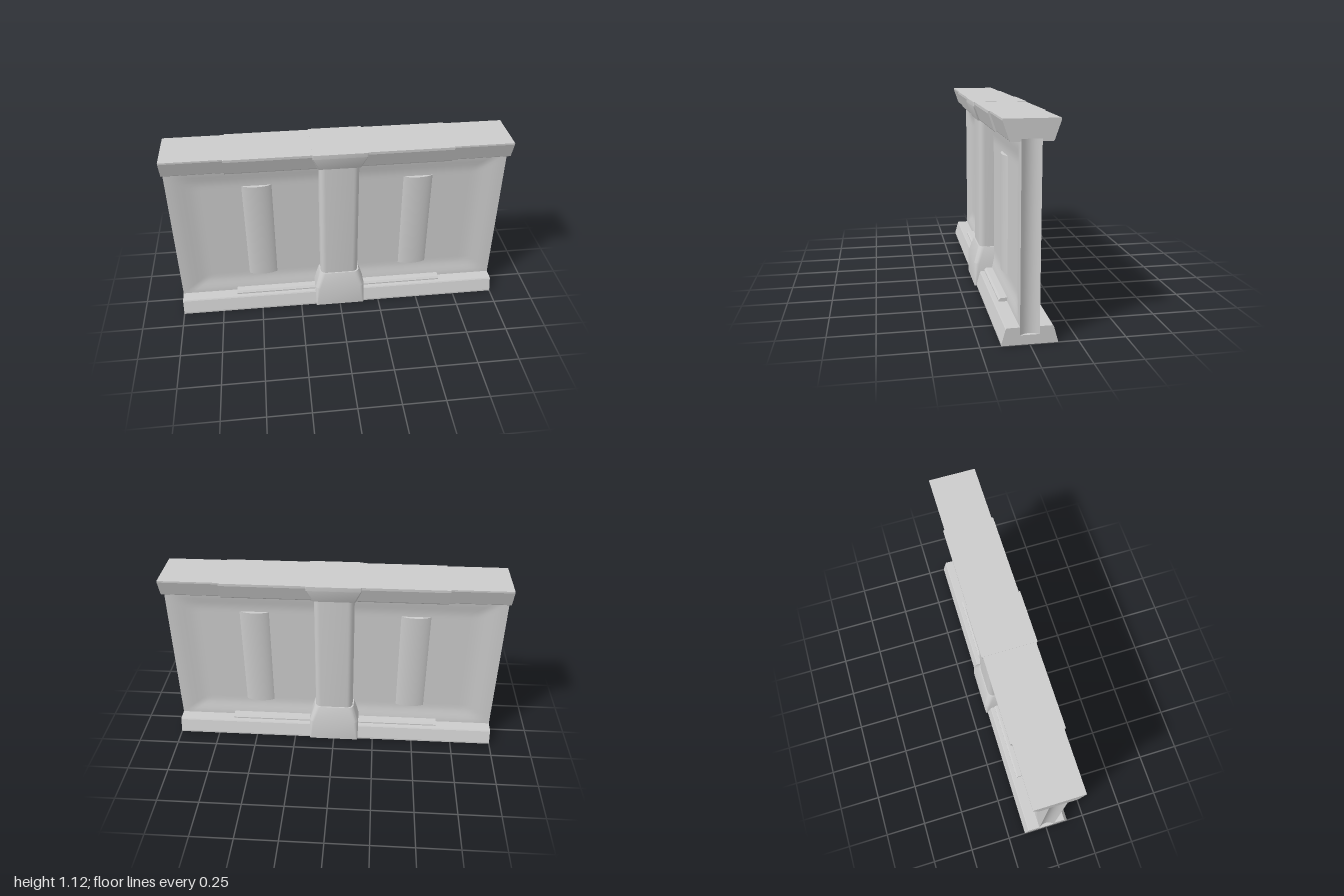
import * as THREE from 'three';
import { toCreasedNormals } from 'three/addons/utils/BufferGeometryUtils.js';

const material = new THREE.MeshStandardMaterial({ color: 0xcccccc, side: THREE.DoubleSide });

function add(group, name, geometry) {
  const mesh = new THREE.Mesh(geometry, material);
  mesh.name = name;
  group.add(mesh);
  return mesh;
}

// Prism along x from a profile of [z, y] points
function prism(points, x0, x1) {
  const shape = new THREE.Shape(points.map(([z, y]) => new THREE.Vector2(z, y)));
  const g = new THREE.ExtrudeGeometry(shape, { depth: x1 - x0, bevelEnabled: false });
  return g.rotateY(Math.PI / 2).translate(x0, 0, 0);
}

// Mirrors a right-hand half profile across z = 0
const mirrored = half => [...half, ...half.map(([z, y]) => [-z, y]).reverse()];

// Rounded-square loft through rings of [y, halfWidth, cornerRadius]
function loft(rings) {
  const pos = [], index = [], per = 24;
  for (const [y, w, r] of rings) {
    for (let c = 0; c < 4; c++) {
      const mid = Math.PI / 4 + c * Math.PI / 2;
      const cx = Math.sign(Math.cos(mid)) * (w - r), cz = Math.sign(Math.sin(mid)) * (w - r);
      for (let k = 0; k < 6; k++) {
        const a = (c + k / 5) * Math.PI / 2;
        pos.push(cx + r * Math.cos(a), y, cz + r * Math.sin(a));
      }
    }
  }
  for (let i = 0; i < rings.length - 1; i++) {
    for (let j = 0; j < per; j++) {
      const a = i * per + j, b = i * per + (j + 1) % per;
      index.push(a, a + per, b, b, a + per, b + per);
    }
  }
  const last = (rings.length - 1) * per;
  for (let j = 1; j < per - 1; j++) {
    index.push(0, j, j + 1, last, last + j + 1, last + j);
  }
  const g = new THREE.BufferGeometry();
  g.setAttribute('position', new THREE.Float32BufferAttribute(pos, 3));
  g.setIndex(index);
  return toCreasedNormals(g, 0.4);
}

// Panel face that thickens smoothly towards its borders
function panelFace() {
  const g = new THREE.PlaneGeometry(2, 0.975, 60, 40).translate(0, 0.5375, 0);
  const p = g.attributes.position;
  const smooth = THREE.MathUtils.smoothstep;
  for (let i = 0; i < p.count; i++) {
    const x = p.getX(i), y = p.getY(i);
    const edge = Math.max(
      smooth(Math.abs(x), 0.82, 0.98),
      smooth(y, 0.88, 1.01),
      1 - smooth(y, 0.09, 0.2)
    );
    p.setZ(i, 0.03 + 0.02 * edge);
  }
  g.computeVertexNormals();
  return g;
}

// Shallow concave groove closing the end of the panel
function endGroove() {
  const g = new THREE.PlaneGeometry(0.1, 0.975, 12, 1).rotateY(Math.PI / 2).translate(0, 0.5375, 0);
  const p = g.attributes.position;
  for (let i = 0; i < p.count; i++) {
    p.setX(i, 0.98 + 0.02 * (p.getZ(i) / 0.05) ** 2);
  }
  g.computeVertexNormals();
  return g;
}

export function createModel() {
  const model = new THREE.Group();
  model.name = 'wallSection';

  // Thin wall panel
  const panel = new THREE.Group();
  panel.name = 'panel';
  model.add(panel);
  const face = panelFace(), groove = endGroove();
  for (const turn of [0, Math.PI]) {
    add(panel, turn ? 'panelBack' : 'panelFront', face).rotation.y = turn;
    add(panel, turn ? 'panelRightEnd' : 'panelLeftEnd', groove).rotation.y = turn;
  }

  // Upright ribs, bulging from both faces
  for (const side of [-1, 1]) {
    const rib = new THREE.CylinderGeometry(1, 1, 0.66, 40).scale(0.11, 1, 0.05);
    add(model, side > 0 ? 'leftRib' : 'rightRib', rib).position.set(side * 0.48, 0.54, 0);
  }

  // Bottom and top rails, with slots at the ends for the panel
  const bottom = [[0.143, 0], [0.143, 0.01], [0.122, 0.085], [0.117, 0.092]];
  const top = [[0.14, 1.12], [0.14, 1.11], [0.108, 1.018], [0.102, 1.012]];
  add(model, 'bottomRail', prism(mirrored(bottom), -0.97, 0.97));
  add(model, 'topRail', prism(mirrored(top), -0.97, 0.97));
  const bottomEnd = mirrored([...bottom, [0.05, 0.092], [0.05, 0.05]]);
  const topEnd = mirrored([...top, [0.05, 1.012], [0.05, 1.025]]);
  for (const x of [-1, 0.97]) {
    add(model, 'bottomRailEnd', prism(bottomEnd, x, x + 0.03));
    add(model, 'topRailEnd', prism(topEnd, x, x + 0.03));
  }

  // Wider middle of the top rail and the raised strip on the bottom rail
  const wide = [[0.149, 1.12], [0.149, 1.105], [0.119, 1.018], [0.112, 1.01]];
  add(model, 'topRailMiddle', prism(mirrored(wide), -0.65, 0.65));
  const strip = [[0.095, 0.08], [0.095, 0.1], [0.085, 0.112]];
  add(model, 'bottomStrip', prism(mirrored(strip), -0.655, 0.655));

  // Central pillar
  add(model, 'pillarBase', loft([[0, 0.155, 0.01], [0.14, 0.155, 0.03], [0.235, 0.124, 0.035]]));
  add(model, 'pillarShaft', loft([[0.2, 0.117, 0.035], [1.03, 0.117, 0.035]]));
  add(model, 'pillarCap', loft([[1.01, 0.126, 0.012], [1.095, 0.157, 0.006], [1.121, 0.157, 0.006]]));

  return model;
}
